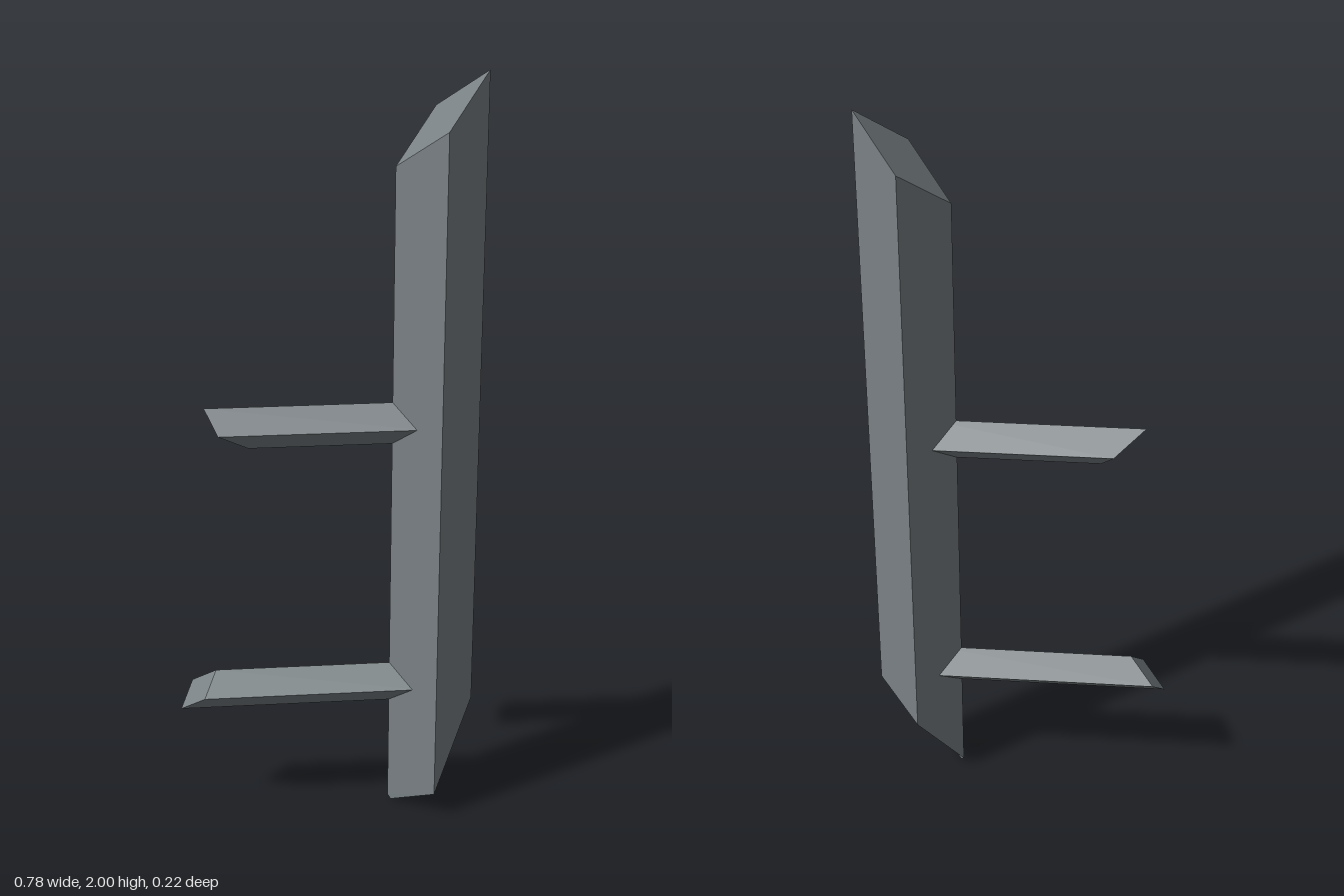
import * as THREE from 'three';

// Four-sided bar between two rings (counter-clockwise seen from the b end)
function bar(a, b, extra = []) {
  const tris = [];
  for (let i = 0; i < 4; i++) {
    const j = (i + 1) % 4;
    tris.push(a[i], a[j], b[j], a[i], b[j], b[i]);
  }
  tris.push(a[0], a[2], a[1], a[0], a[3], a[2]);
  tris.push(b[0], b[1], b[2], b[0], b[2], b[3]);
  const g = new THREE.BufferGeometry();
  g.setAttribute('position', new THREE.Float32BufferAttribute([...tris, ...extra].flat(), 3));
  g.computeVertexNormals();
  return g;
}

export function createModel() {
  const group = new THREE.Group();
  const steel = new THREE.MeshStandardMaterial({ color: 0x7a8285 });
  steel.name = 'steelGrey';
  steel.flatShading = true;

  const add = (name, geometry) => {
    const mesh = new THREE.Mesh(geometry, steel);
    mesh.name = name;
    group.add(mesh);
  };

  // Upright post: diamond section with slanted cuts; corners +x, back, -x, front
  const cx = 0.279, r = 0.112;
  const postRing = (ys) => [
    [cx + r, ys[0], 0], [cx, ys[1], -r], [cx - r, ys[2], 0], [cx, ys[3], r],
  ];
  const foot = postRing([0.302, 0.23, 0.01, 0.072]);
  const head = postRing([2, 1.893, 1.77, 1.877]);
  // Tiny chipped point at the foot
  const tip = [cx - r + 0.008, 0, 0.008];
  add('post', bar(foot, head, [foot[2], tip, foot[3], foot[2], foot[3], tip]));

  // Crossbars: diamond section, broken-off ends; corners top, front, bottom, back
  const rungRing = (y, xs) => [
    [xs[0], y + 0.056, 0], [xs[1], y, 0.056], [xs[2], y - 0.056, 0], [xs[3], y, -0.056],
  ];
  const rung = (name, y, ends) =>
    add(name, bar(rungRing(y, ends), rungRing(y, [0.24, 0.24, 0.24, 0.24])));
  rung('upperCrossbar', 1.105, [-0.311, -0.278, -0.2, -0.232]);
  rung('lowerCrossbar', 0.363, [-0.295, -0.328, -0.39, -0.357]);

  return group;
}
